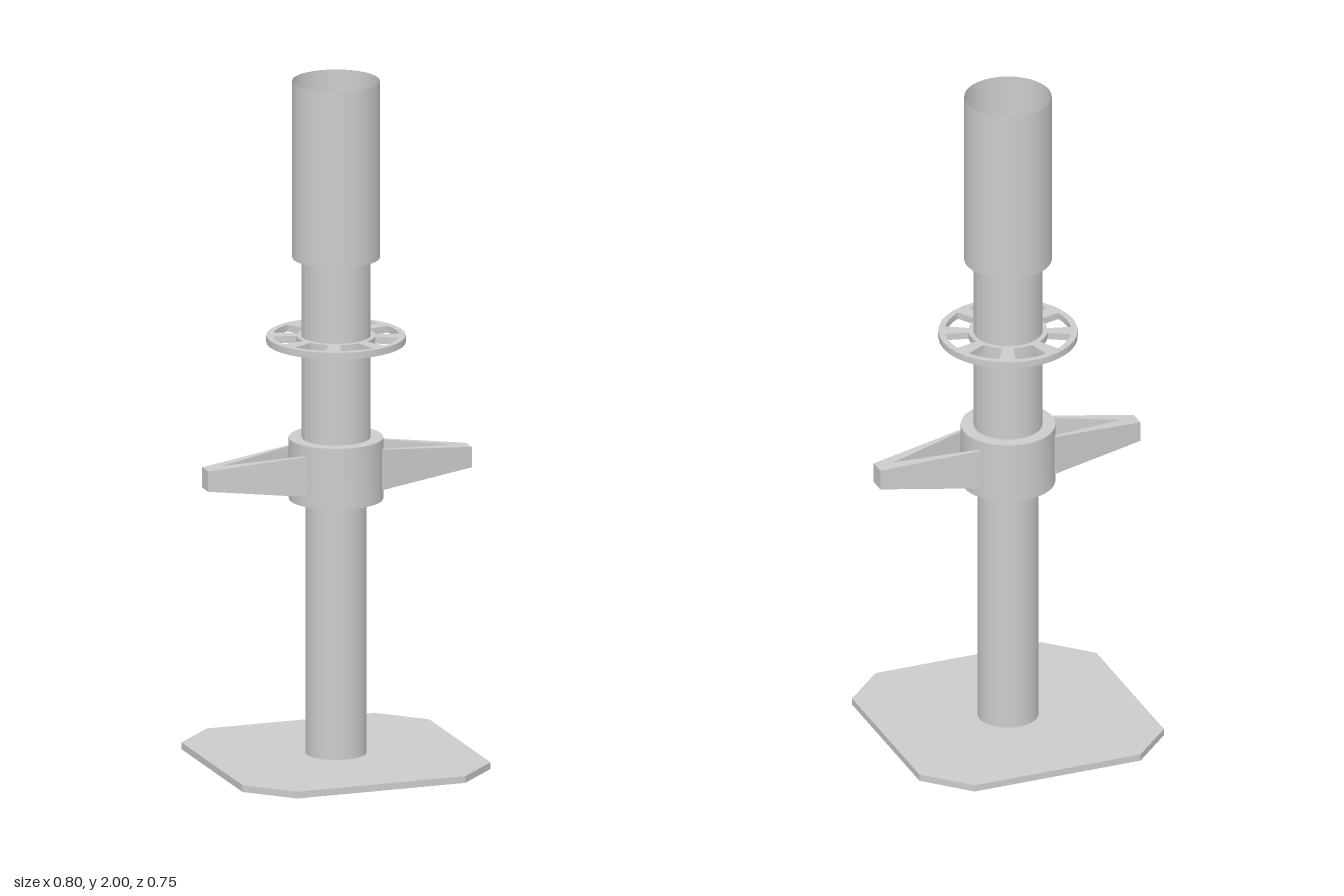
import * as THREE from 'three';
import { toCreasedNormals } from 'three/addons/utils/BufferGeometryUtils.js';

const grey = new THREE.MeshStandardMaterial({ color: 0xcccccc });
const greyOpen = new THREE.MeshStandardMaterial({ color: 0xcccccc, side: THREE.DoubleSide });

const shapeOf = (pts) => new THREE.Shape(pts.map(([x, y]) => new THREE.Vector2(x, y)));

// Flat plate: a plan shape extruded upwards from height y
function plate(name, shape, y, height, curveSegments = 12) {
  const geo = new THREE.ExtrudeGeometry(shape, { depth: height, bevelEnabled: false, curveSegments });
  geo.rotateX(-Math.PI / 2);
  geo.translate(0, y, 0);
  const mesh = new THREE.Mesh(toCreasedNormals(geo, 0.5), grey);
  mesh.name = name;
  return mesh;
}

// Thin open pipe between two heights
function pipe(name, radius, y0, y1) {
  const geo = new THREE.CylinderGeometry(radius, radius, y1 - y0, 48, 1, true);
  geo.translate(0, (y0 + y1) / 2, 0);
  const mesh = new THREE.Mesh(geo, greyOpen);
  mesh.name = name;
  return mesh;
}

export function createModel() {
  const model = new THREE.Group();
  model.name = 'scaffoldBaseJack';
  const body = new THREE.Group();
  body.name = 'body';
  body.position.x = -0.003;
  model.add(body);

  // Base plate with clipped corners
  const h = 0.376, c = 0.255;
  body.add(plate('basePlate', shapeOf([
    [c, -h], [h, -c], [h, c], [c, h], [-c, h], [-h, c], [-h, -c], [-c, -h],
  ]), 0, 0.02));

  // Stem, middle tube and wide top sleeve
  body.add(pipe('stem', 0.087, 0.018, 0.95));
  body.add(pipe('middleTube', 0.098, 0.94, 1.5));
  body.add(pipe('topSleeve', 0.125, 1.48, 2));

  // Nut collar
  const profile = [[0.086, 0.77], [0.135, 0.77], [0.135, 0.95], [0.086, 0.95], [0.086, 0.77]]
    .map(([r, y]) => new THREE.Vector2(r, y));
  const collar = new THREE.Mesh(toCreasedNormals(new THREE.LatheGeometry(profile, 48), 0.6), grey);
  collar.name = 'nutCollar';
  body.add(collar);

  // Rosette ring with eight wedge slots
  const disc = new THREE.Shape();
  disc.absarc(0, 0, 0.199, 0, Math.PI * 2);
  const bore = new THREE.Path();
  bore.absarc(0, 0, 0.099, 0, Math.PI * 2, true);
  disc.holes.push(bore);
  const half = 0.262;
  for (let i = 0; i < 8; i++) {
    const a = (i * Math.PI) / 4;
    const slot = new THREE.Path();
    slot.absarc(0, 0, 0.18, a - half, a + half, false);
    slot.absarc(0, 0, 0.113, a + half, a - half, true);
    slot.closePath();
    disc.holes.push(slot);
  }
  body.add(plate('rosetteRing', disc, 1.23, 0.02, 18));

  // Tapered wing handles with a triangular opening, thinner towards the tip
  for (const side of [1, -1]) {
    const outline = shapeOf([[0.11, -0.073], [0.4, -0.025], [0.4, 0.025], [0.11, 0.073]]);
    outline.holes.push(new THREE.Path(
      [[0.118, -0.061], [0.118, 0.061], [0.35, 0]].map(([x, y]) => new THREE.Vector2(x, y))));
    const geo = new THREE.ExtrudeGeometry(outline, { depth: 1, bevelEnabled: false });
    geo.rotateX(-Math.PI / 2);
    const p = geo.attributes.position;
    for (let i = 0; i < p.count; i++) {
      const t = (p.getX(i) - 0.11) / 0.29;
      const halfHeight = 0.06 - 0.03 * t;
      p.setY(i, 0.86 + (p.getY(i) * 2 - 1) * halfHeight);
    }
    if (side < 0) geo.rotateY(Math.PI);
    const wing = new THREE.Mesh(toCreasedNormals(geo, 0.2), grey);
    wing.name = side > 0 ? 'leftWingHandle' : 'rightWingHandle';
    model.add(wing);
  }
  return model;
}
